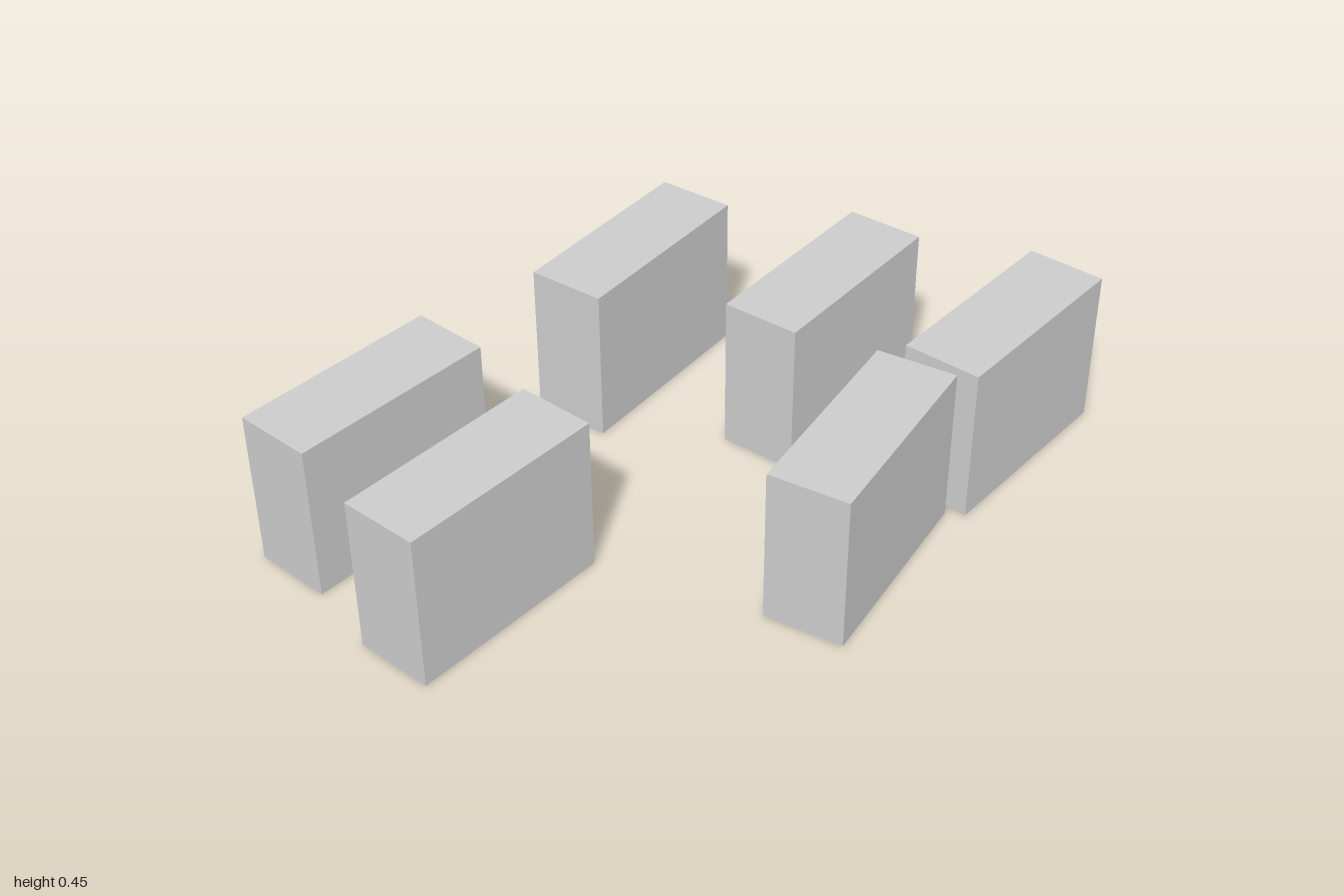
import * as THREE from 'three';

export function createModel() {
  const model = new THREE.Group();
  model.name = 'blocks';
  const material = new THREE.MeshStandardMaterial({ color: 0xcccccc, flatShading: true });

  // Six identical upright blocks, each slightly turned
  const height = 0.45;
  const geometry = new THREE.BoxGeometry(0.225, height, 0.6);

  // x, z, turn about y
  const placements = [
    [-0.518, -0.31, 0.1],
    [-0.014, -0.537, 0.073],
    [0.474, -0.696, 0.03],
    [0.499, -0.055, 0.2],
    [-0.557, 0.645, 0.01],
    [-0.115, 0.697, 0.02],
  ];
  placements.forEach(([x, z, turn], i) => {
    const block = new THREE.Mesh(geometry, material);
    block.name = `block${i + 1}`;
    block.position.set(x, height / 2, z);
    block.rotation.y = turn;
    model.add(block);
  });

  return model;
}
